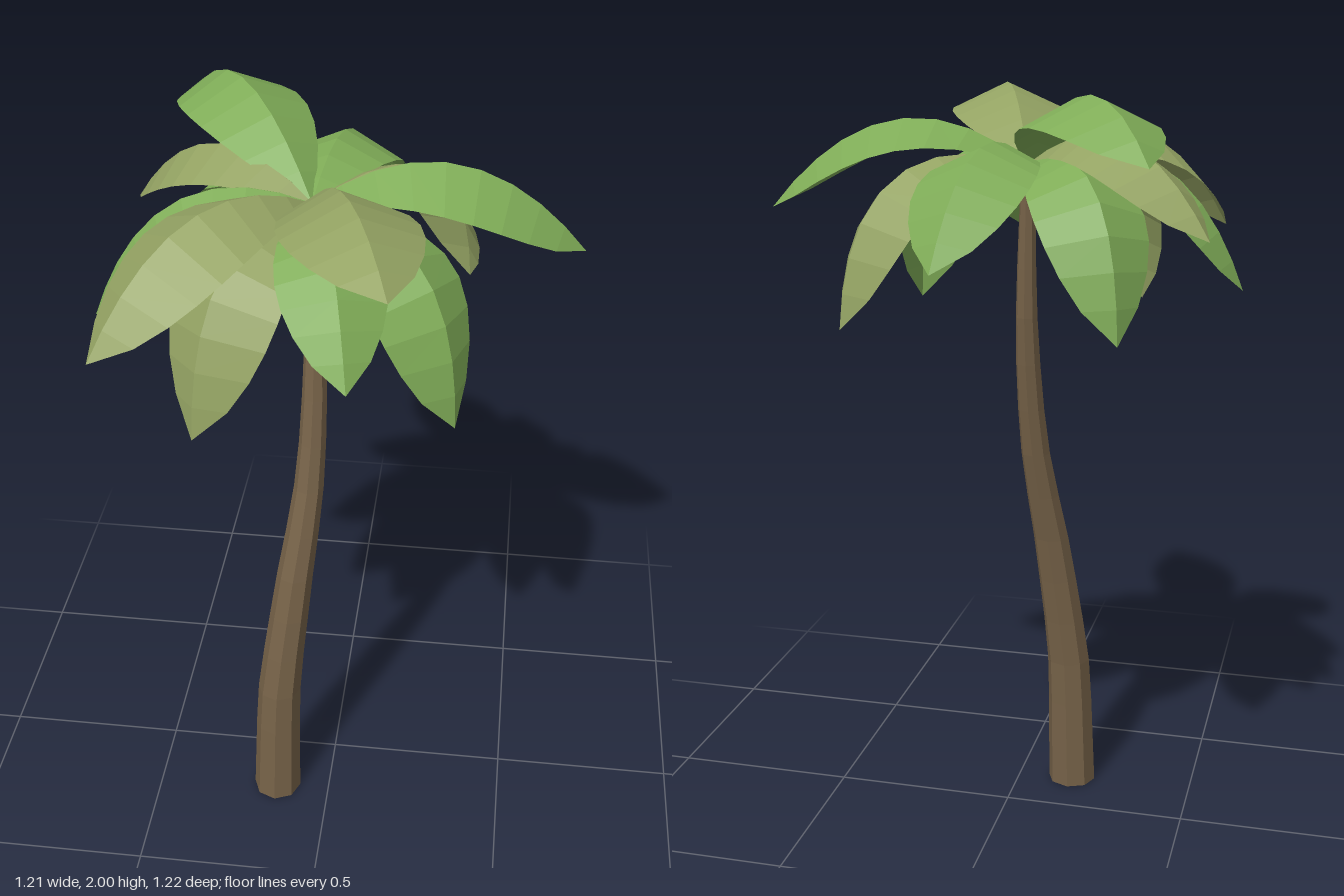
import * as THREE from 'three';

const GREEN = new THREE.MeshStandardMaterial({ color: 0x7fac57, flatShading: true, side: THREE.DoubleSide });
const OLIVE = new THREE.MeshStandardMaterial({ color: 0x94a363, flatShading: true, side: THREE.DoubleSide });
const BARK = new THREE.MeshStandardMaterial({ color: 0x766248, flatShading: true, side: THREE.DoubleSide });

const CROWN = new THREE.Vector3(-0.06, 1.81, -0.03);

// Tapered, gently S-bent open trunk: a cylinder whose rings are shifted along a curve
function makeTrunk() {
  const height = 1.8;
  const path = new THREE.CatmullRomCurve3([
    [-0.153, 0.068, 0.172], [-0.143, 0.061, 0.162], [-0.104, 0.051, 0.12],
    [-0.06, 0.038, 0.045], [-0.053, 0.028, -0.012], [-0.06, 0.018, -0.03],
  ].map((p) => new THREE.Vector3(...p))); // x centre, radius, z centre
  const geo = new THREE.CylinderGeometry(1, 1, height, 8, 14, true);
  geo.translate(0, height / 2, 0);
  const pos = geo.attributes.position;
  for (let i = 0; i < pos.count; i++) {
    const y = pos.getY(i);
    const c = path.getPoint(Math.min(1, Math.max(0, y / height)));
    pos.setXYZ(i, c.x + pos.getX(i) * c.y, y, c.z + pos.getZ(i) * c.y);
  }
  geo.computeVertexNormals();
  const trunk = new THREE.Mesh(geo, BARK);
  trunk.name = 'trunk';
  return trunk;
}

// Arching frond folded down along its midrib; its width follows its length
function makeFrond({ tip, lift, reach, material }) {
  const end = new THREE.Vector3(...tip);
  const control = CROWN.clone().lerp(end, reach).setY(lift);
  const rib = new THREE.QuadraticBezierCurve3(CROWN, control, end);
  const side = new THREE.Vector3(end.z - CROWN.z, 0, CROWN.x - end.x).normalize();
  const size = CROWN.distanceTo(end);
  const rows = 9;
  const vertices = [];
  const index = [];
  for (let i = 0; i <= rows; i++) {
    const t = i / rows;
    const p = rib.getPointAt(t);
    const up = rib.getTangentAt(t).cross(side).normalize();
    const swell = size * Math.pow(t, 0.95) * Math.pow(1 - t, 0.8) / 0.299;
    for (const s of [-1, 0, 1]) {
      const v = p.clone().addScaledVector(side, s * 0.23 * swell)
        .addScaledVector(up, -Math.abs(s) * 0.105 * swell);
      vertices.push(v.x, v.y, v.z);
    }
    if (i === rows) break;
    for (let k = 0; k < 2; k++) {
      const a = i * 3 + k;
      index.push(a, a + 3, a + 1, a + 1, a + 3, a + 4);
    }
  }
  const geo = new THREE.BufferGeometry();
  geo.setAttribute('position', new THREE.Float32BufferAttribute(vertices, 3));
  geo.setIndex(index);
  geo.computeVertexNormals();
  return new THREE.Mesh(geo, material);
}

export function createModel() {
  const model = new THREE.Group();
  model.name = 'palmTree';
  model.add(makeTrunk());

  const fronds = new THREE.Group();
  fronds.name = 'fronds';
  const layout = [
    // upper fronds
    { tip: [-0.45, 1.86, -0.57], lift: 2.16, reach: 0.54, material: GREEN },
    { tip: [0.605, 1.69, -0.095], lift: 2.08, reach: 0.53, material: GREEN },
    { tip: [0.18, 1.91, 0.61], lift: 2.11, reach: 0.5, material: OLIVE },
    // middle fronds
    { tip: [0.03, 1.62, -0.61], lift: 2.02, reach: 0.6, material: GREEN },
    { tip: [-0.515, 1.61, 0.44], lift: 2.04, reach: 0.58, material: OLIVE },
    { tip: [-0.605, 1.5, 0.03], lift: 1.97, reach: 0.7, material: GREEN },
    { tip: [-0.555, 1.67, -0.31], lift: 2.03, reach: 0.57, material: OLIVE },
    { tip: [0.08, 1.59, 0.47], lift: 1.98, reach: 0.62, material: GREEN },
    // lower, drooping fronds
    { tip: [0.32, 1.44, -0.4], lift: 1.96, reach: 0.93, material: OLIVE },
    { tip: [0.32, 1.4, 0.285], lift: 1.95, reach: 0.98, material: GREEN },
    { tip: [-0.29, 1.4, 0.41], lift: 1.95, reach: 0.93, material: OLIVE },
    { tip: [-0.365, 1.44, -0.43], lift: 1.96, reach: 0.95, material: GREEN },
  ];
  layout.forEach((spec, i) => {
    const frond = makeFrond(spec);
    frond.name = `frond${i + 1}`;
    fronds.add(frond);
  });
  model.add(fronds);
  return model;
}
